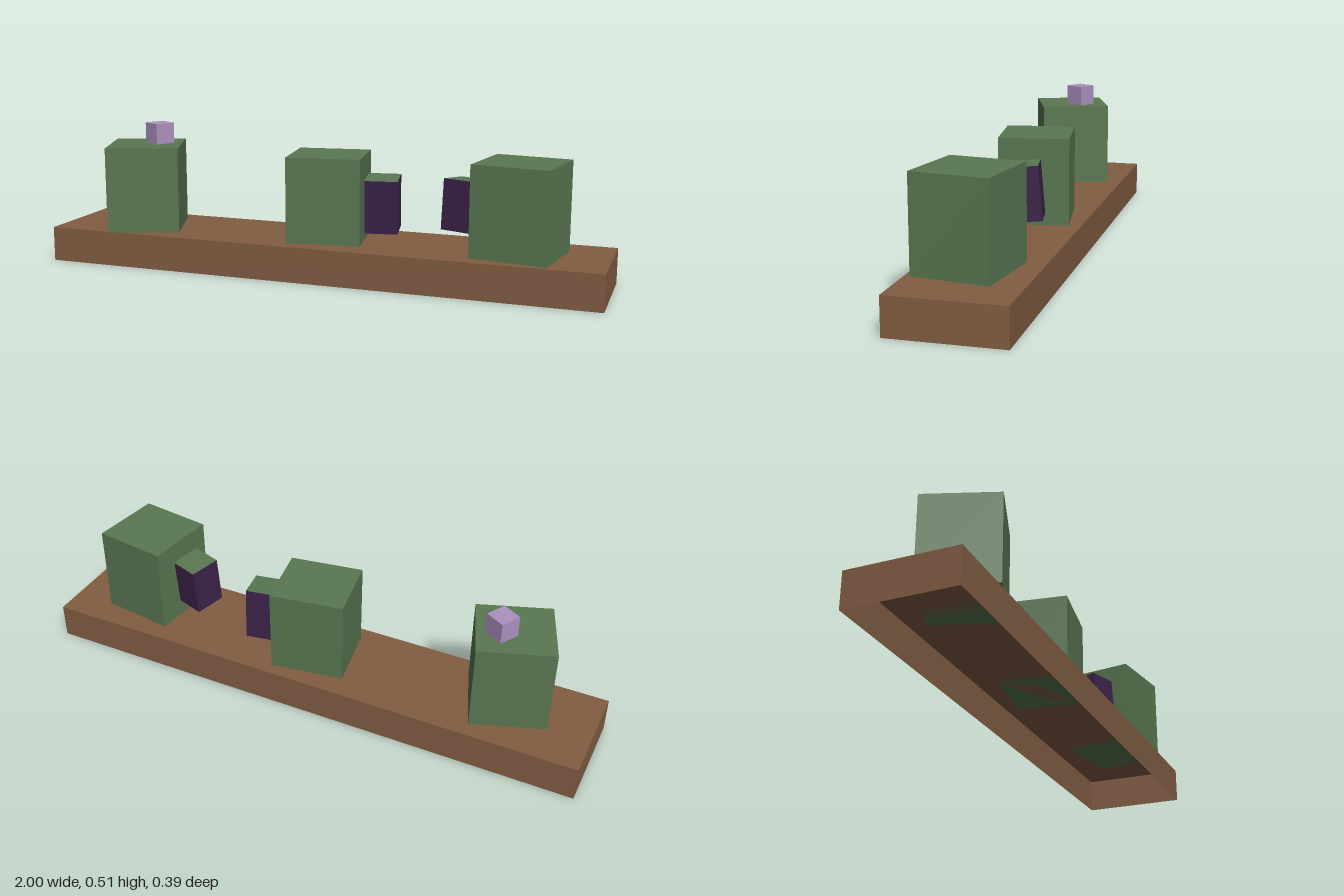
import * as THREE from 'three';

const material = (name, color, side = THREE.FrontSide) => {
  const m = new THREE.MeshStandardMaterial({ color, side });
  m.name = name;
  return m;
};

export function createModel() {
  const model = new THREE.Group();
  model.name = 'blockPlatform';

  const brown = material('brown', 0x825d42, THREE.DoubleSide);
  const green = material('green', 0x597751);
  const purple = material('darkPurple', 0x3c2249);
  const lilac = material('lilac', 0xad91c0);

  // A box standing at [x, y, z], turned by yaw and leaning by tilt (degrees)
  const addBox = (name, size, position, mat, yaw = 0, tilt = 0) => {
    const mesh = new THREE.Mesh(new THREE.BoxGeometry(...size), mat);
    mesh.name = name;
    mesh.position.set(...position);
    mesh.rotation.set(THREE.MathUtils.degToRad(tilt), THREE.MathUtils.degToRad(yaw), 0, 'YXZ');
    model.add(mesh);
    return mesh;
  };

  // Hollow platform, open underneath: the bottom face is dropped from the box
  const platform = addBox('platform', [2, 0.125, 0.375], [0, 0.0625, -0.0055], brown);
  const faces = Array.from(platform.geometry.index.array);
  faces.splice(18, 6);
  platform.geometry.setIndex(faces);
  platform.geometry.clearGroups();

  // Three large blocks resting on the platform
  const base = 0.125;
  [
    ['rightBlock', 0.26, 0.432, 0.257, -0.687, 0.027, 20],
    ['middleBlock', 0.26, 0.426, 0.243, 0.015, -0.011, 8.7],
    ['leftBlock', 0.266, 0.438, 0.257, 0.7, 0.018, -8.2],
  ].forEach(([name, w, top, d, x, z, yaw]) =>
    addBox(name, [w, top - base, d], [x, (top + base) / 2, z], green, yaw));

  // Leaning side blocks with green tops
  const capped = [purple, purple, green, purple, purple, purple];
  addBox('middleSideBlock', [0.115, 0.188, 0.114], [0.212, 0.259, -0.019], capped, 10, 4.7);
  addBox('leftSideBlock', [0.113, 0.174, 0.113], [0.509, 0.279, 0], capped, -19, -4.5);

  // Small cube on the right block
  addBox('topCube', [0.075, 0.075, 0.075], [-0.652, 0.469, -0.015], lilac, -30);

  return model;
}
